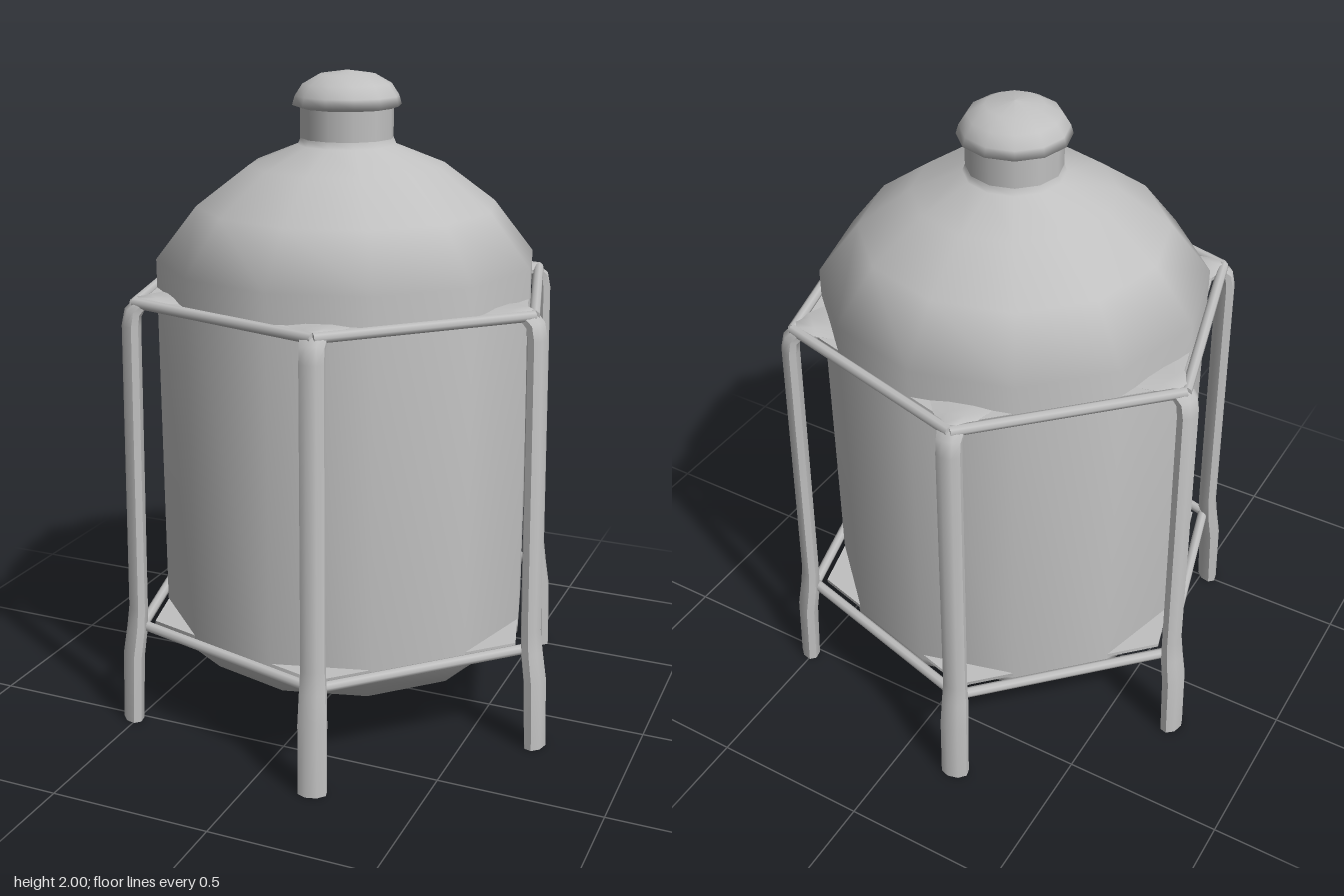
import * as THREE from 'three';
import { toCreasedNormals } from 'three/addons/utils/BufferGeometryUtils.js';

const paint = new THREE.MeshStandardMaterial({ color: 0xc0c0c0 });
paint.name = 'grey metal';

const mesh = (name, geometry) => {
  const m = new THREE.Mesh(geometry, paint);
  m.name = name;
  return m;
};

// twelve-sided turned body from [radius, height] pairs, bottom to top
const turned = (name, profile) =>
  mesh(name, new THREE.LatheGeometry(profile.map(([r, y]) => new THREE.Vector2(r, y)), 12));

// leg: oval sections [radius, height, radial half, tangential half] swept upward
function legGeometry(sections, sides = 8) {
  const pos = [], idx = [];
  sections.forEach(([r, y, a, b], i) => {
    const p = sections[Math.max(i - 1, 0)], q = sections[Math.min(i + 1, sections.length - 1)];
    const t = new THREE.Vector2(q[0] - p[0], q[1] - p[1]).normalize();
    // keep the foot flat on the ground
    if (i === 0) t.set(0, 1);
    for (let j = 0; j < sides; j++) {
      const th = ((j + 0.5) / sides) * Math.PI * 2;
      const u = Math.cos(th) * a;
      pos.push(r + t.y * u, y - t.x * u, Math.sin(th) * b);
    }
  });
  for (let i = 0; i < sections.length - 1; i++) {
    for (let j = 0; j < sides; j++) {
      const k = (j + 1) % sides;
      const a = i * sides + j, b = i * sides + k, c = a + sides, d = b + sides;
      idx.push(a, c, b, b, c, d);
    }
  }
  const last = (sections.length - 1) * sides;
  for (let j = 1; j < sides - 1; j++) {
    idx.push(0, j, j + 1);
    idx.push(last, last + j + 1, last + j);
  }
  const g = new THREE.BufferGeometry();
  g.setAttribute('position', new THREE.Float32BufferAttribute(pos, 3));
  g.setIndex(idx);
  return toCreasedNormals(g, 0.9);
}

// round bar between two points
function bar(name, from, to, radius) {
  const dir = to.clone().sub(from);
  const m = mesh(name, new THREE.CylinderGeometry(radius, radius, dir.length(), 8));
  m.position.copy(from).add(to).multiplyScalar(0.5);
  m.quaternion.setFromUnitVectors(new THREE.Vector3(0, 1, 0), dir.normalize());
  return m;
}

export function createModel() {
  const model = new THREE.Group();
  model.name = 'storage tank';

  // vessel with rounded bottom, straight wall and domed shoulder
  model.add(turned('tankBody', [
    [0, 0.11], [0.2, 0.12], [0.39, 0.143], [0.5, 0.19], [0.585, 0.275],
    [0.585, 0.3], [0.585, 1.44], [0.46, 1.6], [0.3, 1.72], [0.15, 1.78], [0.142, 1.8],
  ]));
  model.add(turned('neck', [[0.142, 1.77], [0.142, 1.9]]));
  model.add(turned('cap', [
    [0.13, 1.885], [0.166, 1.898], [0.158, 1.925], [0.135, 1.96], [0.085, 1.988], [0, 2],
  ]));

  // six splayed legs, hooked inward at the top
  const angle = (i) => Math.PI / 12 + (i * Math.PI) / 3;
  const legShape = legGeometry([
    [0.731, 0, 0.03, 0.045],
    [0.722, 0.22, 0.032, 0.045],
    [0.708, 0.31, 0.031, 0.042],
    [0.702, 0.38, 0.028, 0.038],
    [0.687, 1.28, 0.028, 0.038],
    [0.68, 1.32, 0.026, 0.038],
    [0.655, 1.345, 0.02, 0.042],
    [0.615, 1.348, 0.015, 0.07],
    [0.56, 1.348, 0.012, 0.1],
  ]);
  for (let i = 0; i < 6; i++) {
    const leg = mesh('leg', legShape);
    leg.rotation.y = -angle(i);
    model.add(leg);
  }

  // hexagonal frames with corner plates around the vessel
  for (const [name, y, r] of [['upperFrame', 1.347, 0.675], ['lowerFrame', 0.313, 0.69]]) {
    const frame = new THREE.Group();
    frame.name = name;
    const corner = (i) => new THREE.Vector3(r * Math.cos(angle(i)), y, r * Math.sin(angle(i)));
    for (let i = 0; i < 6; i++) frame.add(bar('frameBar', corner(i), corner(i + 1), 0.016));
    const plate = mesh('cornerPlates',
      new THREE.CylinderGeometry(0.65, 0.65, 0.012, 6, 1, false, Math.PI / 12));
    plate.position.y = y;
    frame.add(plate);
    model.add(frame);
  }
  return model;
}
